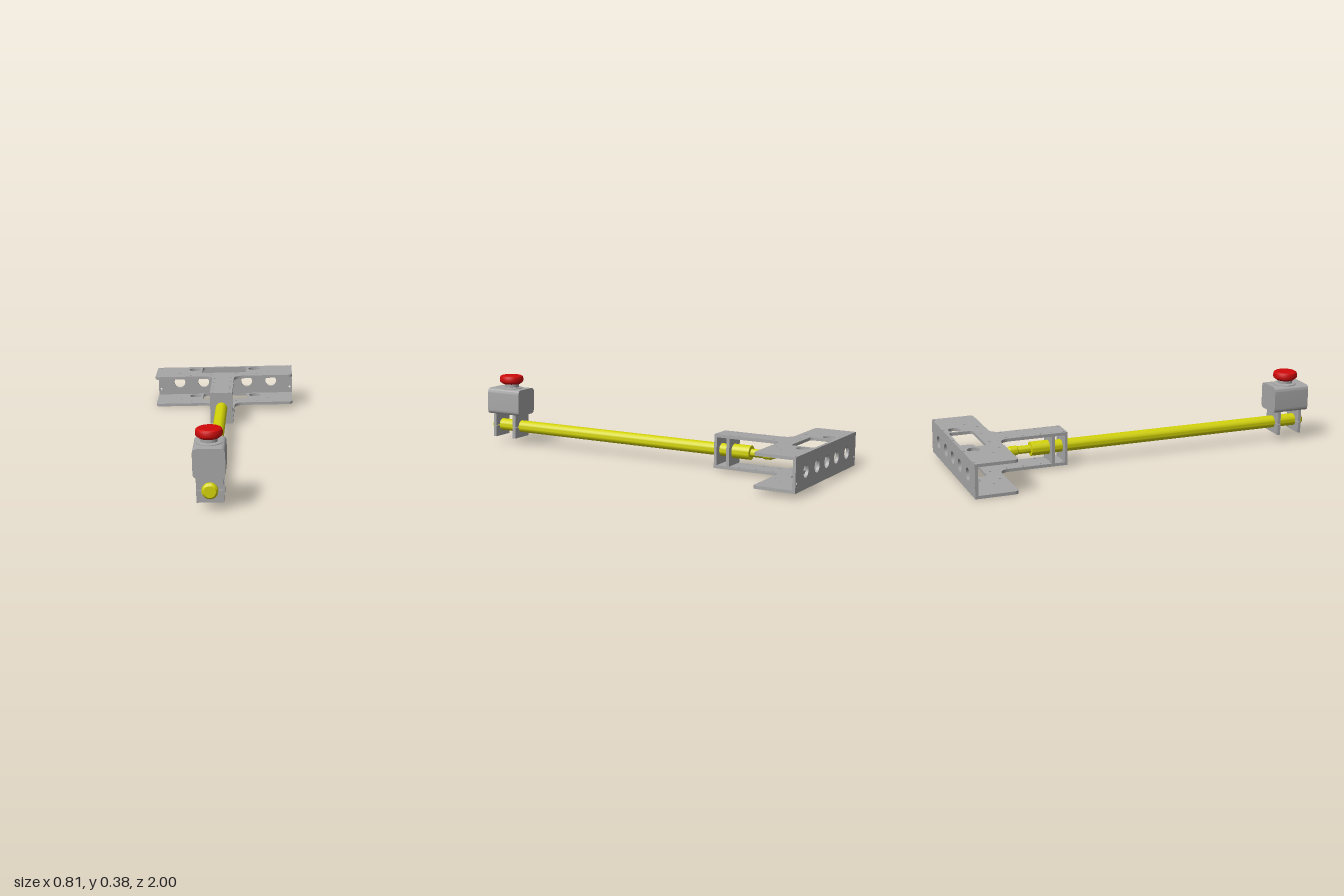
import * as THREE from 'three';
import { toCreasedNormals } from 'three/addons/utils/BufferGeometryUtils.js';

const grey = new THREE.MeshStandardMaterial({ color: 0xa6a6a6 });
grey.name = 'metalGrey';
const yellow = new THREE.MeshStandardMaterial({ color: 0xd2d208 });
yellow.name = 'poleYellow';
const red = new THREE.MeshStandardMaterial({ color: 0xd00a0a });
red.name = 'buttonRed';

function add(parent, name, geometry, material, x = 0, y = 0, z = 0) {
  const mesh = new THREE.Mesh(toCreasedNormals(geometry, 0.5), material);
  mesh.name = name;
  mesh.position.set(x, y, z);
  parent.add(mesh);
  return mesh;
}

const box = (w, h, d) => new THREE.BoxGeometry(w, h, d);

function lathe(points, segments = 32) {
  return new THREE.LatheGeometry(points.map(([r, y]) => new THREE.Vector2(r, y)), segments);
}

// Traces a closed outline of [x, y, cornerRadius], rounding each corner
function rounded(path, corners) {
  const n = corners.length;
  corners.forEach(([x, y, r], i) => {
    const p = new THREE.Vector2(x, y);
    const toward = ([tx, ty]) => new THREE.Vector2(tx, ty).sub(p).setLength(r).add(p);
    const a = toward(corners[(i + n - 1) % n]);
    const b = toward(corners[(i + 1) % n]);
    if (i === 0) path.moveTo(a.x, a.y); else path.lineTo(a.x, a.y);
    if (r > 0) path.quadraticCurveTo(x, y, b.x, b.y);
  });
  path.closePath();
  return path;
}

function rect(path, x0, y0, x1, y1, r) {
  return rounded(path, [[x0, y0, r], [x1, y0, r], [x1, y1, r], [x0, y1, r]]);
}

function hole(shape, x, y, r) {
  shape.holes.push(new THREE.Path().absarc(x, y, r, 0, Math.PI * 2, true));
}

const extrude = (shape, depth) =>
  new THREE.ExtrudeGeometry(shape, { depth, bevelEnabled: false, curveSegments: 10 });

// T-shaped plate with a window and bolt holes; shape y runs toward the back
function teePlate() {
  const shape = rounded(new THREE.Shape(), [
    [-0.063, 0.405, 0], [0.063, 0.405, 0], [0.063, 0.777, 0.06], [0.4, 0.777, 0.025],
    [0.4, 1, 0], [-0.4, 1, 0], [-0.4, 0.777, 0.025], [-0.063, 0.777, 0.06],
  ]);
  shape.holes.push(rect(new THREE.Path(), -0.13, 0.857, 0.13, 0.983, 0.02));
  for (const s of [-1, 1]) {
    hole(shape, s * 0.176, 0.94, 0.033);
    for (const [x, y] of [[0.257, 0.862], [0.193, 0.81], [0.072, 0.825], [0.375, 0.992], [0.19, 0.992]])
      hole(shape, s * x, y, 0.006);
    for (const y of [0.73, 0.64, 0.545, 0.49, 0.42]) hole(shape, s * 0.047, y, 0.006);
  }
  hole(shape, 0, 0.992, 0.006);
  return extrude(shape, 0.016).rotateX(-Math.PI / 2);
}

function backPlate() {
  const shape = rect(new THREE.Shape(), -0.4, -0.073, 0.4, 0.073, 0);
  for (const x of [-0.273, -0.129, 0, 0.129, 0.273]) hole(shape, x, 0, 0.033);
  for (const x of [-0.386, 0.386]) hole(shape, x, -0.04, 0.007);
  return extrude(shape, 0.016);
}

export function createModel() {
  const model = new THREE.Group();
  model.name = 'poleWithButton';

  // Everything turns slightly about the pole axis
  const body = new THREE.Group();
  body.name = 'body';
  body.position.y = 0.102;
  body.rotation.z = 0.031;
  model.add(body);

  // Rear bracket
  const bracket = new THREE.Group();
  bracket.name = 'rearBracket';
  body.add(bracket);
  add(bracket, 'topPlate', teePlate(), grey, 0, 0.073, 0);
  add(bracket, 'bottomPlate', teePlate(), grey, 0, -0.089, 0);
  add(bracket, 'backPlate', backPlate(), grey, 0, 0, -1);
  add(bracket, 'frontCrossPlate', box(0.126, 0.146, 0.015), grey, 0, 0, -0.4125);
  add(bracket, 'innerCrossPlate', box(0.126, 0.146, 0.017), grey, 0, 0, -0.4825);

  // Pole with end cap, collar and stepped tip, profiled from back to front
  const pole = lathe([
    [0, -0.722], [0.016, -0.722], [0.02, -0.705], [0.025, -0.7], [0.025, -0.662],
    [0.021, -0.658], [0.021, -0.59], [0.037, -0.588], [0.037, -0.48], [0.033, -0.48],
    [0.033, 0.968], [0.039, 0.97], [0.039, 0.985], [0.029, 0.997], [0, 0.997],
  ]);
  add(body, 'pole', pole.rotateX(Math.PI / 2), yellow);

  // Split clamp plates holding the button box
  for (const [z, d] of [[0.96, 0.016], [0.833, 0.018]]) {
    add(body, 'clampUpper', box(0.13, 0.072, d), grey, 0, 0.038, z);
    add(body, 'clampLower', box(0.13, 0.06, d), grey, 0, -0.0315, z);
  }

  // Button box
  const housing = rect(new THREE.Shape(), -0.077, 0.067, 0.077, 0.211, 0.025);
  add(body, 'buttonBox', extrude(housing, 0.204), grey, 0, 0, 0.795);

  // Stop button on its collar
  const collar = lathe([[0, 0.2], [0.062, 0.2], [0.062, 0.214], [0.04, 0.217], [0.04, 0.24], [0, 0.24]]);
  add(body, 'buttonCollar', collar, grey, 0, 0, 0.893);
  const cap = lathe([
    [0, 0.235], [0.047, 0.235], [0.063, 0.247], [0.065, 0.253], [0.065, 0.268],
    [0.062, 0.277], [0.054, 0.282], [0, 0.283],
  ]);
  add(body, 'buttonCap', cap, red, 0, 0, 0.893);

  return model;
}
